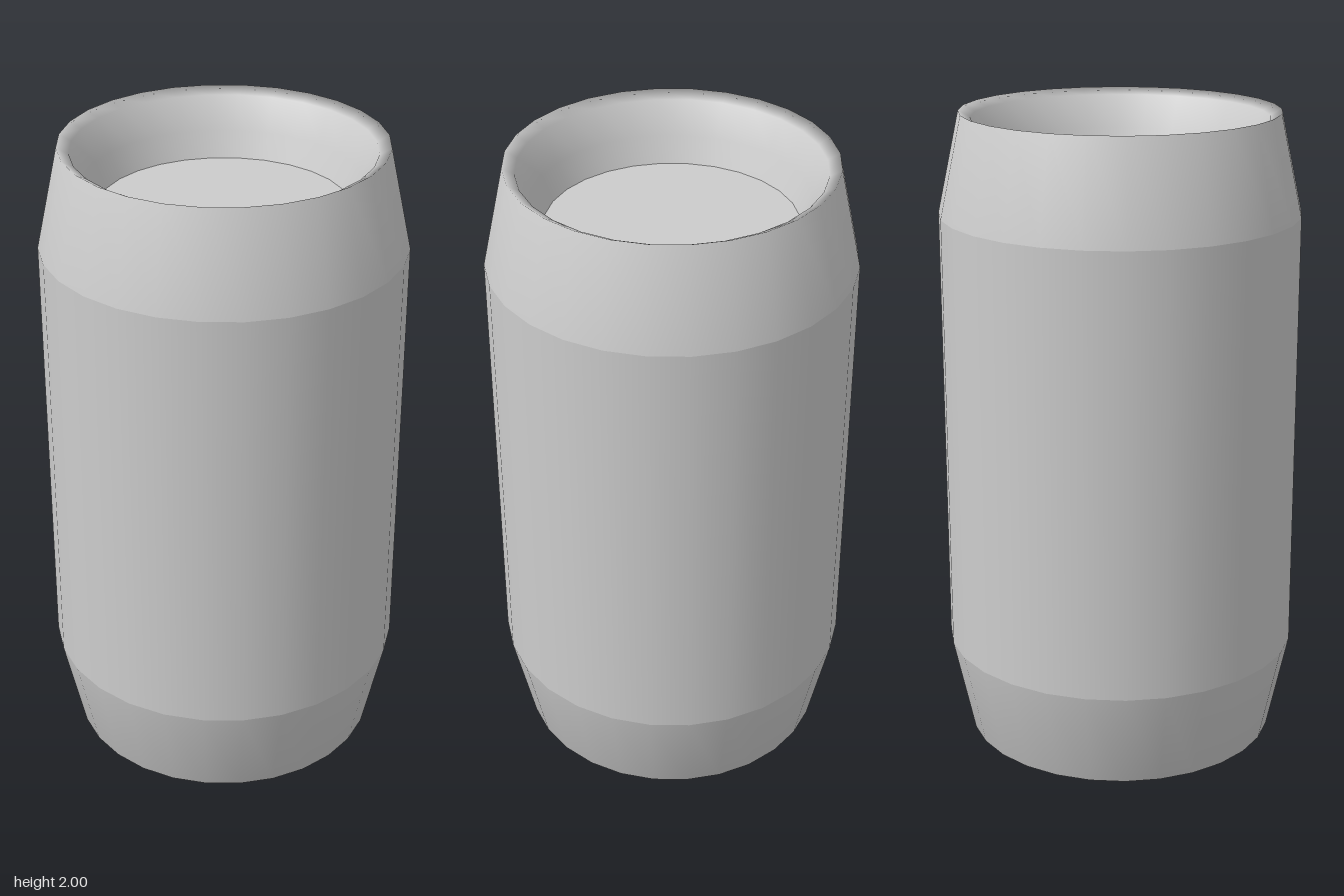
import * as THREE from 'three';

const SIDES = 28;
const metal = new THREE.MeshStandardMaterial({ color: 0xcccccc });
metal.name = 'plain grey';

function lathe(name, profile) {
  const points = profile.map(([r, y]) => new THREE.Vector2(r, y));
  const mesh = new THREE.Mesh(new THREE.LatheGeometry(points, SIDES), metal);
  mesh.name = name;
  return mesh;
}

// Tapered shoulder, rolled rim and recessed lid of one end
function createEnd(name) {
  const end = new THREE.Group();
  end.name = name;
  end.add(lathe('shoulderAndRim', [
    [0.555, 1.69], [0.488, 2], [0.452, 1.98], [0.41, 1.88], [0.378, 1.8],
  ]));
  const lid = new THREE.Mesh(new THREE.CircleGeometry(0.378, SIDES), metal);
  lid.name = 'recessedLid';
  lid.rotation.x = -Math.PI / 2;
  lid.position.y = 1.8;
  end.add(lid);
  return end;
}

export function createModel() {
  const can = new THREE.Group();
  can.name = 'can';

  // Straight side wall
  can.add(lathe('body', [[0.555, 0.31], [0.555, 1.69]]));

  // The base is the top end turned over
  const top = createEnd('topEnd');
  const base = createEnd('baseEnd');
  base.rotation.x = Math.PI;
  base.position.y = 2;
  can.add(top, base);

  return can;
}
